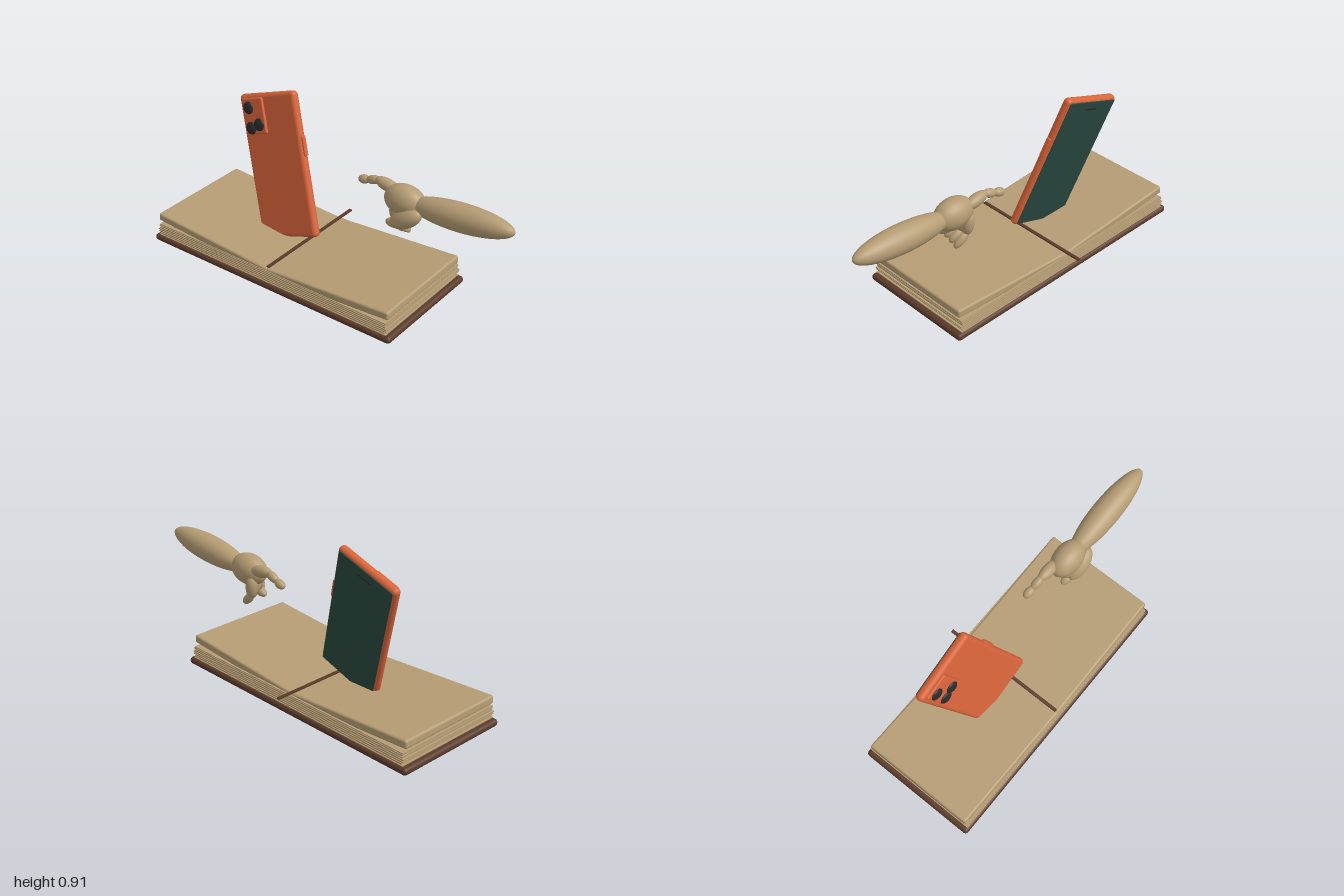
import * as THREE from 'three';
import { RoundedBoxGeometry } from 'three/addons/geometries/RoundedBoxGeometry.js';

const mat = (name, color) => {
  const m = new THREE.MeshStandardMaterial({ color });
  m.name = name;
  return m;
};

export function createModel() {
  const model = new THREE.Group();
  model.name = 'phoneBookAndHand';
  const tan = mat('tan', 0xb59c74);
  const brown = mat('brown', 0x5a3a2a);
  const orange = mat('orange', 0xd8643a);
  const green = mat('darkGreen', 0x29483f);
  const black = mat('charcoal', 0x2a2a2b);

  const add = (parent, name, geo, material, x = 0, y = 0, z = 0) => {
    const m = new THREE.Mesh(geo, material);
    m.name = name;
    m.position.set(x, y, z);
    parent.add(m);
    return m;
  };
  const rbox = (w, h, d, r, s = 4) => new RoundedBoxGeometry(w, h, d, s, r);

  // Open book: cover, stacked sheets, two tilted page blocks, ribbon
  const book = new THREE.Group();
  book.name = 'book';
  book.position.set(-0.205, 0, 0.03);
  model.add(book);
  add(book, 'cover', rbox(1.59, 0.04, 0.69, 0.0195), brown, 0, 0.02, 0);
  const sheets = 12, pitch = 0.07 / sheets;
  for (let i = 0; i < sheets; i++) {
    const inset = (i % 2) * 0.006 + 0.006 * Math.sin(i * 0.9);
    add(book, 'sheet', new THREE.BoxGeometry(1.53 - inset * 2, pitch * 0.85, 0.665 - (i % 2) * 0.008),
      tan, 0, 0.04 + pitch * (i + 0.5), 0);
  }
  for (const s of [-1, 1]) {
    const block = add(book, 'pageBlock', rbox(0.775, 0.046, 0.643, 0.012), tan, s * 0.384, 0.123, 0.003);
    block.rotation.z = s * 0.07;
  }
  add(book, 'ribbon', new THREE.BoxGeometry(0.018, 0.007, 0.72), brown, 0, 0.123, -0.05);

  // Phone leaning back, camera side to the front
  const phone = new THREE.Group();
  phone.name = 'phone';
  phone.position.set(-0.4225, 0.49, -0.035);
  phone.rotation.set(-0.175, -0.045, 0.33);
  model.add(phone);
  add(phone, 'phoneBody', rbox(0.396, 0.788, 0.05, 0.0235, 5), orange);
  add(phone, 'screen', rbox(0.365, 0.755, 0.009, 0.004, 2), green, 0, 0, -0.0245);
  add(phone, 'speakerSlot', rbox(0.09, 0.012, 0.008, 0.0035, 2), black, 0, 0.335, -0.0285);
  add(phone, 'sideButton', rbox(0.016, 0.11, 0.026, 0.006, 3), orange, 0.198, 0.1, 0);
  add(phone, 'cameraIsland', rbox(0.145, 0.197, 0.022, 0.008), orange, -0.095, 0.275, 0.027);
  for (const [x, y] of [[-0.126, 0.322], [-0.068, 0.228], [-0.128, 0.212]]) {
    add(phone, 'lens', new THREE.SphereGeometry(0.035, 28, 16), black, x, y, 0.038).scale.z = 0.4;
  }

  // Pointing hand made of stretched ellipsoids
  const hand = new THREE.Group();
  hand.name = 'hand';
  model.add(hand);
  const up = new THREE.Vector3(0, 1, 0);
  const limb = (name, a, b, r) => {
    const p = new THREE.Vector3(...a), q = new THREE.Vector3(...b);
    const d = q.clone().sub(p), mid = p.clone().add(q).multiplyScalar(0.5);
    const m = add(hand, name, new THREE.SphereGeometry(1, 32, 20), tan, mid.x, mid.y, mid.z);
    m.scale.set(r, d.length() / 2, r);
    m.quaternion.setFromUnitVectors(up, d.normalize());
  };
  limb('forearm', [0.4, 0.548, -0.053], [1.0, 0.594, -0.053], 0.074);
  const palm = add(hand, 'palm', new THREE.SphereGeometry(1, 32, 20), tan, 0.375, 0.55, -0.052);
  palm.scale.set(0.117, 0.085, 0.076);
  limb('thumbBase', [0.50, 0.535, -0.005], [0.33, 0.425, 0.0], 0.05);
  limb('thumbTip', [0.395, 0.435, -0.005], [0.285, 0.415, -0.02], 0.026);

  // Finger chains: joints from knuckle to tip, with a radius per segment
  const finger = (name, joints, radii) => radii.forEach((r, i) => {
    const a = new THREE.Vector3(...joints[i]), b = new THREE.Vector3(...joints[i + 1]);
    const over = b.clone().sub(a).multiplyScalar(0.14);
    limb(name, a.sub(over).toArray(), b.add(over).toArray(), r);
  });
  finger('indexFinger', [[0.31, 0.57, -0.08], [0.19, 0.592, -0.08], [0.125, 0.568, -0.085], [0.07, 0.553, -0.09]],
    [0.033, 0.024, 0.024]);
  for (let i = 0; i < 3; i++) {
    const z = -0.095 + i * 0.03, x = 0.01 * i;
    finger('curledFinger', [[0.31 + x, 0.53, z], [0.32 + x, 0.425 + 0.008 * i, z + 0.008],
      [0.385 + x * 0.5, 0.365 + 0.02 * i, z + 0.018]], [0.033, 0.024]);
  }
  return model;
}
